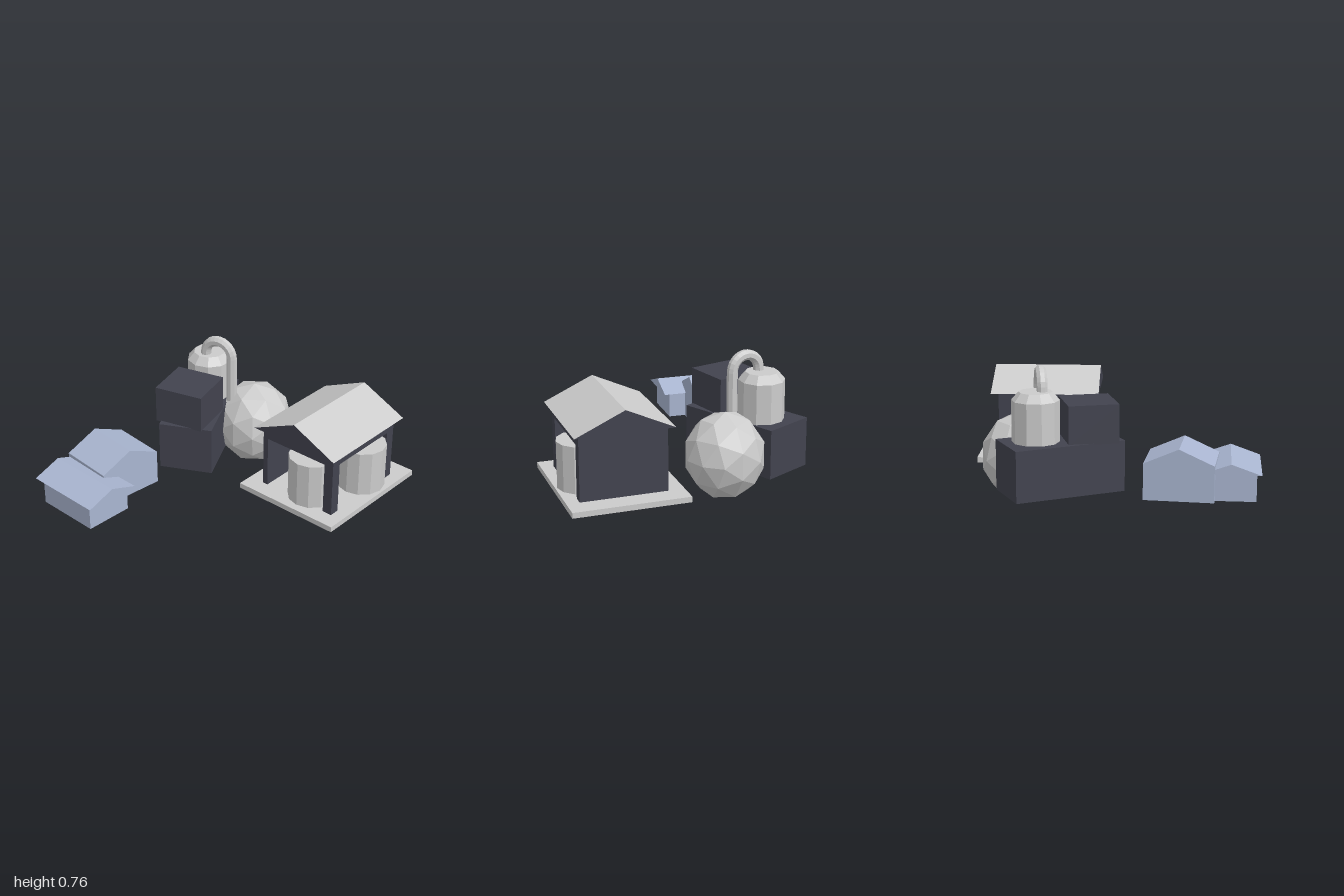
import * as THREE from 'three';

const mat = (color) => new THREE.MeshStandardMaterial({ color, flatShading: true, side: THREE.DoubleSide });
const grey = mat(0xcccccc), dark = mat(0x42434f), blue = mat(0xa9b5d0);

function add(parent, name, geometry, material, x = 0, y = 0, z = 0) {
  const mesh = new THREE.Mesh(geometry, material);
  mesh.name = name;
  mesh.position.set(x, y, z);
  parent.add(mesh);
  return mesh;
}

// Box standing on height y0 and reaching y1
function block(parent, name, material, w, d, y0, y1, x = 0, z = 0) {
  return add(parent, name, new THREE.BoxGeometry(w, y1 - y0, d), material, x, (y0 + y1) / 2, z);
}

// Gable roof with its ridge along local z
function gableRoof(parent, name, gableMat, roofMat, w, d, eave, ridge, z = 0) {
  const tri = new THREE.Shape([
    new THREE.Vector2(-w / 2, 0), new THREE.Vector2(w / 2, 0), new THREE.Vector2(0, ridge - eave),
  ]);
  const geometry = new THREE.ExtrudeGeometry(tri, { depth: d, bevelEnabled: false });
  return add(parent, name, geometry, [gableMat, roofMat], 0, eave, z - d / 2);
}

// Group on the ground plan, turned so local x points along (cos a, sin a) in x-z
function plot(parent, name, x, z, degrees) {
  const group = new THREE.Group();
  group.name = name;
  group.position.set(x, 0, z);
  group.rotation.y = -THREE.MathUtils.degToRad(degrees);
  parent.add(group);
  return group;
}

export function createModel() {
  const model = new THREE.Group();
  model.name = 'storageYard';

  // Open shed on a slab, sheltering two tanks
  const shed = plot(model, 'shed', 0.53, 0.075, 37.8);
  block(shed, 'slab', grey, 0.62, 0.72, 0.12, 0.15, -0.01, -0.013);
  const W = 0.463, D = 0.52, P = 0.055, T = 0.03, top = 0.5, head = 0.437;
  block(shed, 'backWall', dark, W, T, 0.15, top, 0, -D / 2 + T / 2);
  block(shed, 'sideWall', dark, T, D, 0.15, top, -W / 2 + T / 2, 0);
  block(shed, 'cornerPost', dark, P, P, 0.15, top, W / 2 - P / 2, D / 2 - P / 2);
  block(shed, 'rearPost', dark, P, P, 0.15, top, W / 2 - P / 2, -D / 2 + P / 2);
  block(shed, 'gableLintel', dark, W, P, head, top, 0, D / 2 - P / 2);
  block(shed, 'sideLintel', dark, P, D, head, top, W / 2 - P / 2, 0);
  gableRoof(shed, 'shedRoof', dark, grey, 0.525, 0.6, 0.5, 0.62);
  for (const [x, z] of [[0.05, 0.195], [0.17, -0.075]]) {
    add(shed, 'shedTank', new THREE.CylinderGeometry(0.128, 0.128, 0.25, 12), grey, x, 0.29, z);
  }

  // Two stacked dark blocks
  const lower = plot(model, 'lowerBuilding', -0.19, -0.317, 10.7);
  block(lower, 'lowerBlock', dark, 0.295, 0.6, 0.11, 0.38);
  const upper = plot(model, 'upperBuilding', -0.232, -0.168, 22.5);
  block(upper, 'upperBlock', dark, 0.275, 0.265, 0.375, 0.58);

  // Tower tank with a bevelled top
  const profile = [[0, 0.37], [0.125, 0.37], [0.125, 0.597], [0.088, 0.64], [0, 0.64]]
    .map(([r, y]) => new THREE.Vector2(r, y));
  add(model, 'towerTank', new THREE.LatheGeometry(profile, 10), grey, -0.143, 0, -0.435);

  // Faceted pressure sphere
  const ball = add(model, 'sphereTank', new THREE.IcosahedronGeometry(1, 1), grey, 0.113, 0.238, -0.367);
  ball.scale.set(0.217, 0.237, 0.215);

  // Bent pipe from the tower down into the sphere
  const a = new THREE.Vector3(-0.16, 0.6, -0.405), b = new THREE.Vector3(-0.013, 0.3, -0.332);
  const path = new THREE.CurvePath();
  const points = [];
  const reach = Math.hypot(b.x - a.x, b.z - a.z) / 2;
  for (let i = 0; i <= 8; i++) {
    const t = Math.PI * i / 8, k = (1 - Math.cos(t)) / 2;
    points.push(new THREE.Vector3(a.x + (b.x - a.x) * k, 0.65 + reach * Math.sin(t), a.z + (b.z - a.z) * k));
  }
  path.add(new THREE.LineCurve3(a, points[0]));
  path.add(new THREE.CatmullRomCurve3(points));
  path.add(new THREE.LineCurve3(points[8], b));
  add(model, 'pipe', new THREE.TubeGeometry(path, 32, 0.029, 8), grey);

  // Tall blue house
  const tall = plot(model, 'tallHouse', -0.62, 0.143, -46);
  block(tall, 'tallHouseWalls', blue, 0.36, 0.305, 0.12, 0.31);
  gableRoof(tall, 'tallHouseRoof', blue, blue, 0.36, 0.305, 0.31, 0.39);

  // Low blue house with overhanging roof
  const low = plot(model, 'lowHouse', -0.735, 0.373, -50.2);
  block(low, 'lowHouseWalls', blue, 0.26, 0.36, 0.12, 0.267);
  gableRoof(low, 'lowHouseRoof', blue, blue, 0.31, 0.43, 0.265, 0.32);

  return model;
}
